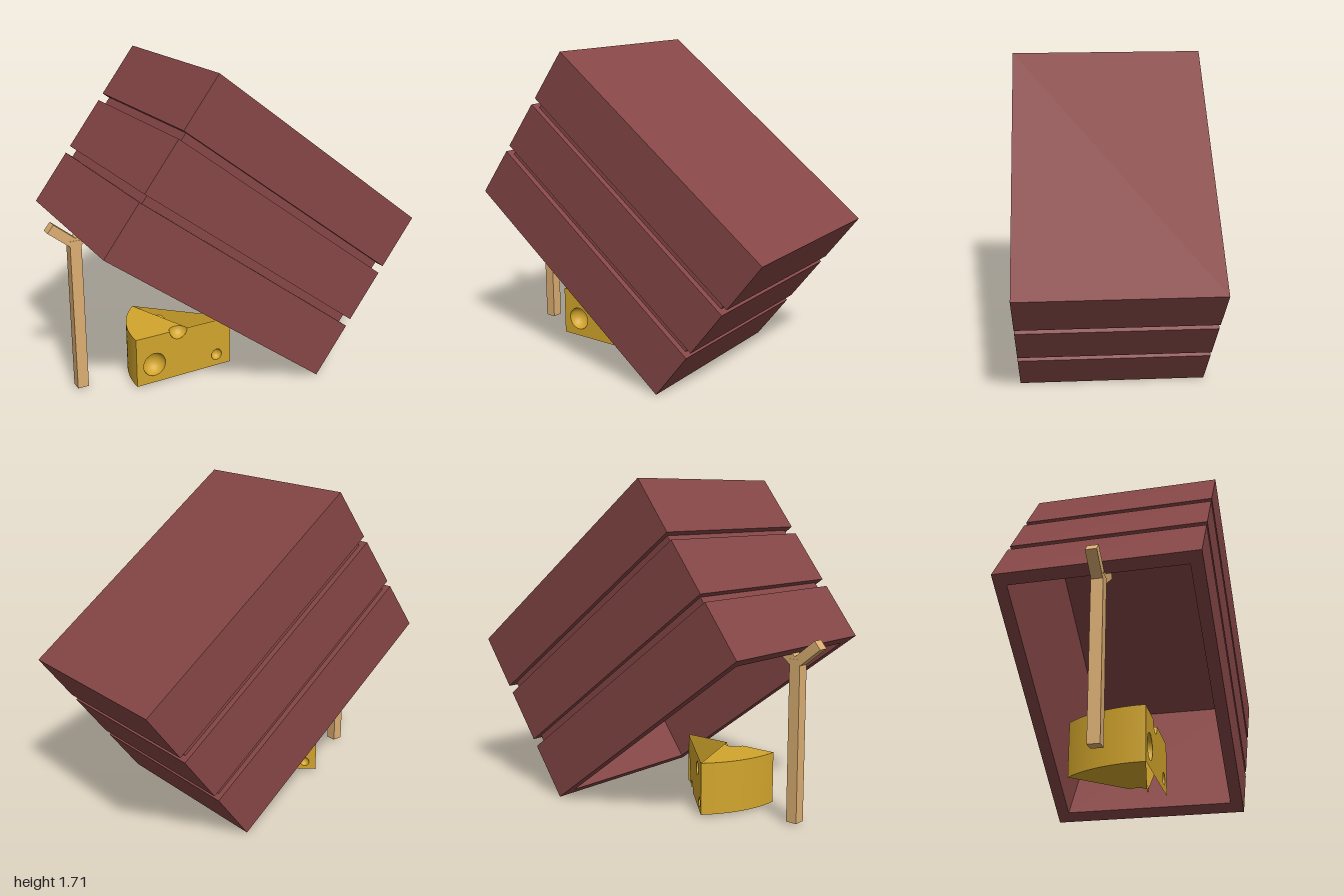
import * as THREE from 'three';

const rad = THREE.MathUtils.degToRad;

// Lofted rectangular shell: each section is [inset, y]; both ends are capped
function rectLoft(length, width, sections) {
  const corners = [[-1, 1], [1, 1], [1, -1], [-1, -1]];
  const rings = sections.map(([inset, y]) =>
    corners.map(([sx, sz]) => [sx * (length / 2 - inset), y, sz * (width / 2 - inset)]));
  const pos = [];
  const quad = (a, b, c, d) => pos.push(...a, ...b, ...c, ...a, ...c, ...d);
  for (let i = 0; i < rings.length - 1; i++) {
    for (let k = 0; k < 4; k++) {
      const n = (k + 1) % 4;
      quad(rings[i][k], rings[i][n], rings[i + 1][n], rings[i + 1][k]);
    }
  }
  quad(...[...rings[0]].reverse());
  quad(...rings[rings.length - 1]);
  const geo = new THREE.BufferGeometry();
  geo.setAttribute('position', new THREE.Float32BufferAttribute(pos, 3));
  geo.computeVertexNormals();
  return geo;
}

function add(parent, name, geo, mat) {
  const mesh = new THREE.Mesh(geo, mat);
  mesh.name = name;
  parent.add(mesh);
  return mesh;
}

// Hollow crate, open underneath, with two grooves running round its walls
function makeCrate(mat) {
  const H = 1.011, wall = 0.064, d = 0.032;
  const geo = rectLoft(1.504, 1.018, [
    [wall, H - wall], [wall, 0], [0, 0],
    [0, 0.3125], [d, 0.3125], [d, 0.356], [0, 0.356],
    [0, 0.655], [d, 0.655], [d, 0.6985], [0, 0.6985], [0, H],
  ]);
  geo.translate(0, -H / 2, 0);
  const crate = new THREE.Group();
  crate.name = 'crate';
  add(crate, 'crateShell', geo, mat).rotation.z = -Math.atan2(0.9, 1.205);
  crate.position.y = 0.855;
  crate.rotation.y = Math.PI / 4;
  return crate;
}

// Forked prop stick
function makeStick(mat) {
  const stick = new THREE.Group();
  stick.name = 'propStick';
  const t = 0.06, top = 0.83;
  add(stick, 'post', new THREE.BoxGeometry(t, top, t), mat).position.y = top / 2;
  for (const s of [-1, 1]) {
    const arm = add(stick, s < 0 ? 'outerProng' : 'innerProng', new THREE.BoxGeometry(0.052, 0.175, 0.056), mat);
    arm.position.set(s * 0.058, 0.857, 0);
    arm.rotation.z = -s * rad(51);
  }
  stick.position.set(-0.608, 0.01, 0.632);
  stick.rotation.y = Math.PI / 4;
  return stick;
}

// Cheese wedge with round hollows; hollows are [distance from tip, y, radius]
function makeCheese(mat) {
  const R = 0.575, h = 0.273, a1 = rad(133), a2 = rad(178);
  const cheese = new THREE.Group();
  cheese.name = 'cheese';
  const topNotch = [0.323, h, 0.052], lowNotch = [0.17, 0, 0.05];

  // Flat cut side with hollows and a half-round notch on its top or bottom edge
  function cutSide(name, sign, turn, holes, notch) {
    const side = new THREE.Group();
    side.name = name;
    side.rotation.y = turn;
    const lo = Math.min(0, sign * R), hi = Math.max(0, sign * R);
    const [nu, ny, nr] = notch;
    const shape = new THREE.Shape();
    shape.moveTo(lo, 0);
    if (ny === 0) shape.absarc(sign * nu, 0, nr, Math.PI, 0, true);
    shape.lineTo(hi, 0);
    shape.lineTo(hi, h);
    if (ny > 0) shape.absarc(sign * nu, h, nr, 0, -Math.PI, true);
    shape.lineTo(lo, h);
    shape.closePath();
    for (const [u, y, r] of holes) {
      shape.holes.push(new THREE.Path().absarc(sign * u, y, r, 0, Math.PI * 2, true));
      const bowl = new THREE.SphereGeometry(r, 20, 16, Math.PI, Math.PI);
      add(side, 'hollow', bowl, mat).position.set(sign * u, y, 0);
    }
    const quarter = new THREE.SphereGeometry(nr, 20, 10, Math.PI, Math.PI, ny > 0 ? Math.PI / 2 : 0, Math.PI / 2);
    add(side, 'edgeHollow', quarter, mat).position.set(sign * nu, ny, 0);
    add(side, 'cutFace', new THREE.ShapeGeometry(shape, 24), mat);
    cheese.add(side);
  }
  cutSide('frontCut', -1, Math.PI - a1,
    [[0.088, 0.065, 0.032], [0.47, 0.105, 0.065]], topNotch);
  cutSide('backCut', 1, -a2,
    [[0.415, 0.2, 0.036], [0.51, 0.045, 0.026]], lowNotch);

  // Top and bottom sectors, each notched along one straight edge
  for (const isTop of [true, false]) {
    const shape = new THREE.Shape();
    shape.moveTo(0, 0);
    if (isTop) {
      const [u, , r] = topNotch;
      shape.absarc(u * Math.cos(a1), u * Math.sin(a1), r, a1 + Math.PI, a1, true);
    }
    shape.absarc(0, 0, R, a1, a2, false);
    if (!isTop) {
      const [u, , r] = lowNotch;
      shape.absarc(u * Math.cos(a2), u * Math.sin(a2), r, a2, a2 - Math.PI, true);
    }
    shape.closePath();
    const geo = new THREE.ShapeGeometry(shape, 24);
    geo.rotateX(Math.PI / 2);
    add(cheese, isTop ? 'cheeseTop' : 'cheeseBottom', geo, mat).position.y = isTop ? h : 0;
  }

  // Curved rind
  const rind = new THREE.CylinderGeometry(R, R, h, 24, 1, true, Math.PI / 2 - a2, a2 - a1);
  add(cheese, 'rind', rind, mat).position.y = h / 2;
  cheese.position.set(0.08, 0.01, 0.15);
  return cheese;
}

export function createModel() {
  const maroon = new THREE.MeshStandardMaterial({ color: 0x864646 });
  maroon.name = 'maroon';
  const wood = new THREE.MeshStandardMaterial({ color: 0xdcae72 });
  wood.name = 'paleWood';
  const gold = new THREE.MeshStandardMaterial({ color: 0xd2a52c, side: THREE.DoubleSide });
  gold.name = 'cheeseGold';

  const model = new THREE.Group();
  model.name = 'boxTrap';
  model.add(makeCrate(maroon), makeStick(wood), makeCheese(gold));
  return model;
}
